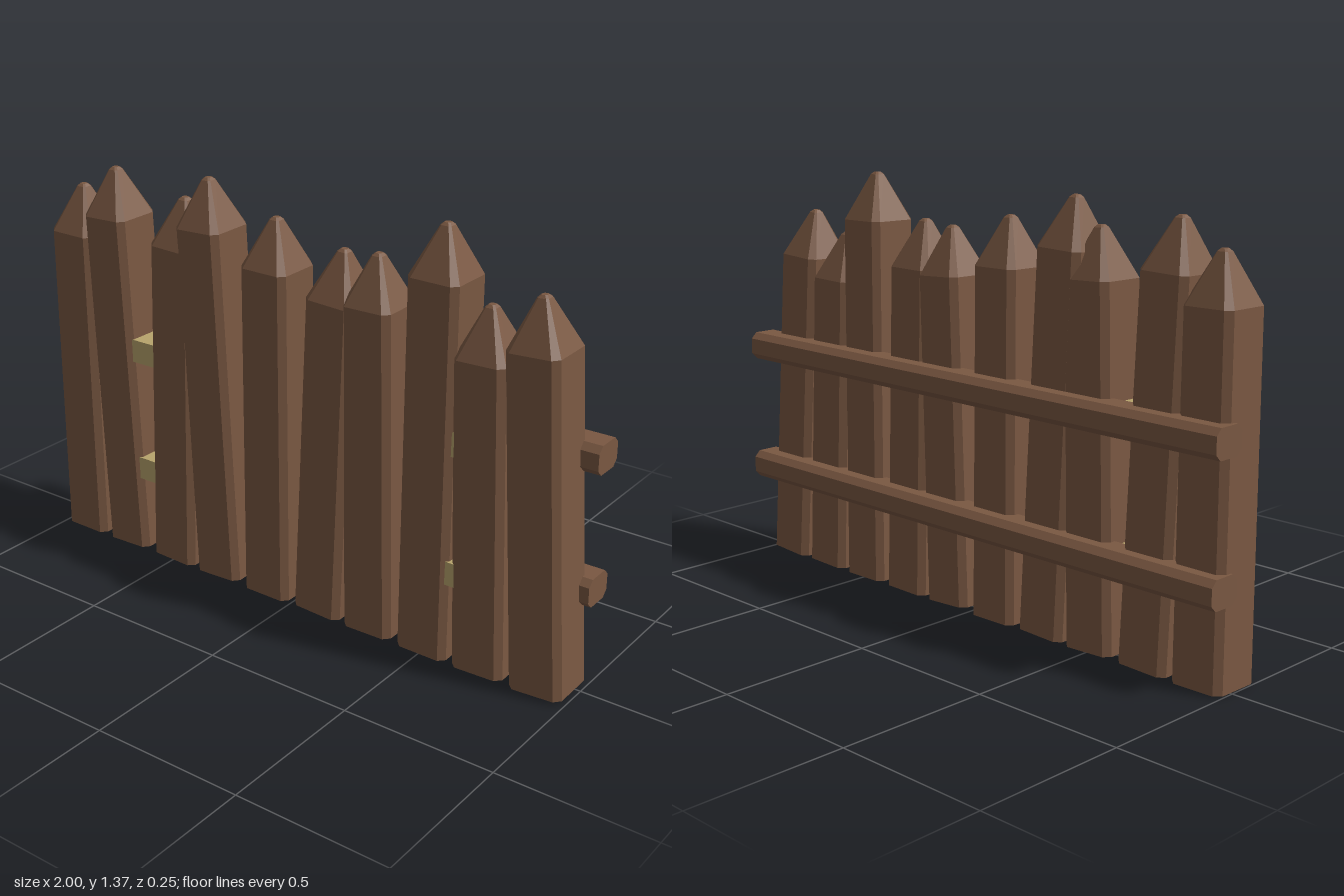
import * as THREE from 'three';

const brown = new THREE.MeshStandardMaterial({ color: 0x7a5842, flatShading: true });
brown.name = 'brown wood';
const tan = new THREE.MeshStandardMaterial({ color: 0xb8a46c, flatShading: true });
tan.name = 'tan wood';

// Solid through chamfered rectangles [y, width, depth, chamfer], stacked along y
function loft(rings) {
  const outline = ([y, w, d, c]) => {
    const a = w / 2, b = d / 2;
    return [
      [a - c, b], [a, b - c], [a, c - b], [a - c, -b],
      [c - a, -b], [-a, c - b], [-a, b - c], [c - a, b],
    ].map(([x, z]) => [x, y, z]);
  };
  const loops = rings.map(outline);
  const pos = [];
  const tri = (...pts) => pts.forEach((p) => pos.push(...p));
  for (let i = 0; i < loops.length - 1; i++) {
    const lo = loops[i], hi = loops[i + 1];
    for (let j = 0; j < 8; j++) {
      const k = (j + 1) % 8;
      tri(lo[j], lo[k], hi[k]);
      tri(lo[j], hi[k], hi[j]);
    }
  }
  const first = loops[0], last = loops[loops.length - 1];
  for (let j = 1; j < 7; j++) {
    tri(first[0], first[j + 1], first[j]);
    tri(last[0], last[j], last[j + 1]);
  }
  const geo = new THREE.BufferGeometry();
  geo.setAttribute('position', new THREE.Float32BufferAttribute(pos, 3));
  geo.computeVertexNormals();
  return geo;
}

// Each picket: foot x, tip x, tip height
const PICKETS = [
  [-0.908, -0.897, 1.24], [-0.708, -0.75, 1.32], [-0.503, -0.457, 1.27],
  [-0.308, -0.36, 1.35], [-0.104, -0.095, 1.27], [0.1, 0.158, 1.22],
  [0.297, 0.28, 1.23], [0.5, 0.512, 1.365], [0.7, 0.664, 1.155], [0.9, 0.826, 1.22],
];

export function createModel() {
  const fence = new THREE.Group();
  fence.name = 'picketFence';

  // Leaning pickets with pointed tops
  PICKETS.forEach(([foot, tip, height], i) => {
    const lean = Math.atan2(foot - tip, height);
    const lift = Math.abs(Math.sin(lean)) * 0.085;
    const h = height - lift;
    const picket = new THREE.Mesh(loft([
      [0, 0.178, 0.175, 0.02],
      [h - 0.155, 0.172, 0.173, 0.02],
      [h - 0.008, 0.036, 0.036, 0.006],
      [h, 0.02, 0.02, 0.005],
    ]), brown);
    picket.name = `picket${i + 1}`;
    picket.position.set(foot, lift, 0.027);
    picket.rotation.set(0.011, 0, lean);
    fence.add(picket);
  });

  // Two horizontal rails along the back
  [[0.738, 'upperRail'], [0.313, 'lowerRail']].forEach(([y, name]) => {
    const geo = loft([[-1, 0.092, 0.114, 0.02], [1, 0.092, 0.114, 0.02]]);
    geo.rotateZ(-Math.PI / 2);
    const rail = new THREE.Mesh(geo, brown);
    rail.name = name;
    rail.position.set(0, y, -0.058);
    rail.rotation.set(0, 0.005, 0.004);
    fence.add(rail);
  });

  // Pale spacer blocks in the two wider gaps
  for (const [x, w] of [[-0.605, 0.14], [0.605, 0.1]]) {
    for (const y of [0.728, 0.305]) {
      const block = new THREE.Mesh(new THREE.BoxGeometry(w, 0.078, 0.125), tan);
      block.name = 'spacerBlock';
      block.position.set(x, y, 0.045);
      fence.add(block);
    }
  }
  return fence;
}
